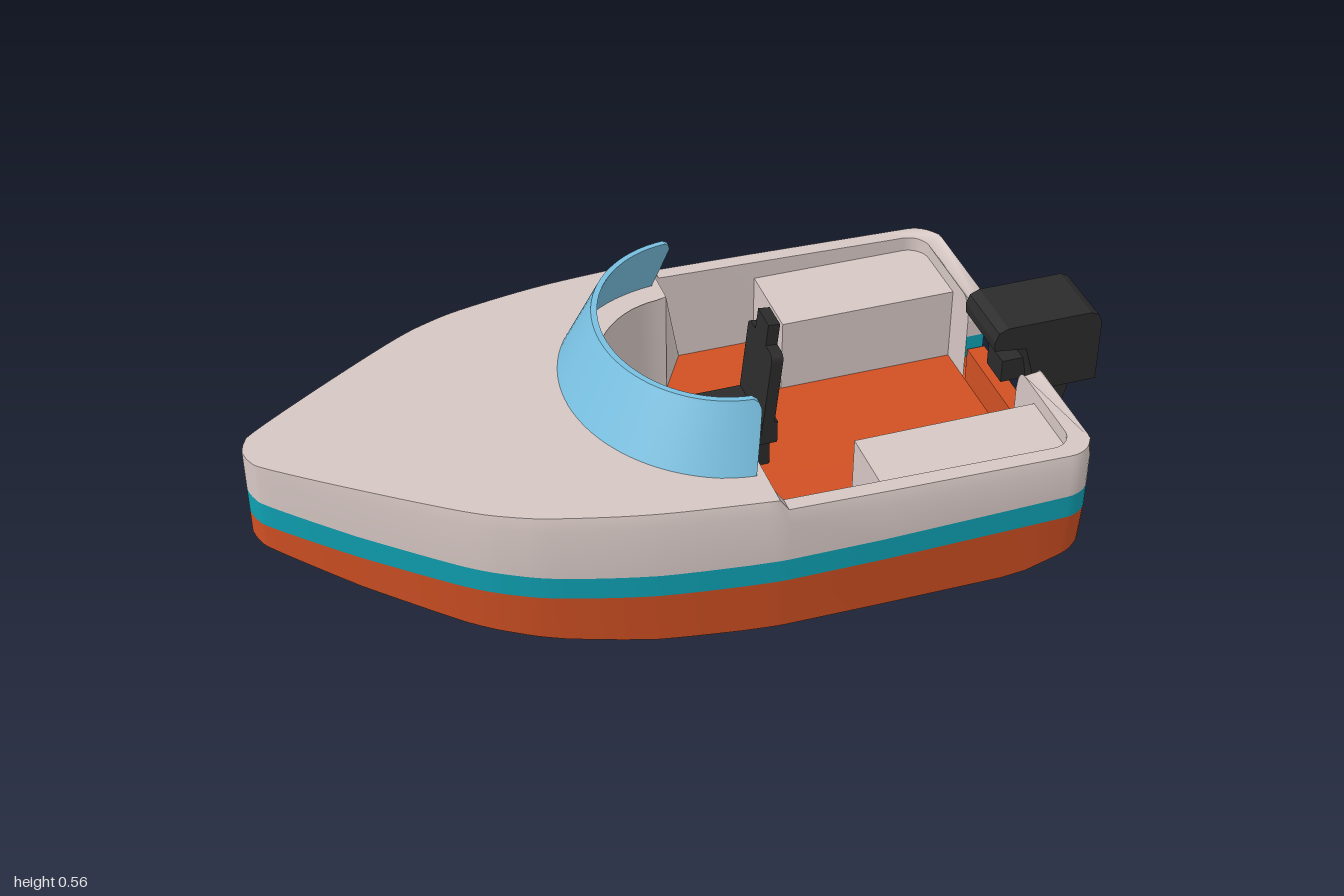
import * as THREE from 'three';
import { toCreasedNormals } from 'three/addons/utils/BufferGeometryUtils.js';

const mat = (name, color) => new THREE.MeshStandardMaterial({ name, color, side: THREE.DoubleSide });

// piecewise linear lookup in [x, y] pairs
function lookup(table, x) {
  for (let i = 1; i < table.length; i++) {
    const [x0, y0] = table[i - 1], [x1, y1] = table[i];
    if (x <= x1) return y0 + (y1 - y0) * Math.max(0, (x - x0) / (x1 - x0));
  }
  return table[table.length - 1][1];
}

const FLOOR = 0.13, SILL = 0.22, STERN = 0.81, INNER = 0.765, NOTCH = 0.14;

// heights along the boat; the sheer rounds down beside the motor notch
function sheer(x, z) {
  const y = lookup([[-1, 0.435], [0.06, 0.402], [0.08, 0.373], [STERN, 0.355]], x);
  const t = x > 0.7 ? THREE.MathUtils.clamp((0.175 - Math.abs(z)) / 0.035, 0, 1) : 0;
  return y - 0.06 * (1 - Math.sqrt(1 - t * t));
}
const bandTop = x => lookup([[-1, 0.335], [-0.8, 0.298], [-0.6, 0.272], [-0.4, 0.255], [-0.2, 0.245], [0, 0.24], [0.35, 0.24], [STERN, 0.25]], x);
const bandLow = x => lookup([[-1, 0.275], [-0.8, 0.24], [-0.6, 0.215], [-0.4, 0.199], [-0.2, 0.188], [0, 0.182], [0.35, 0.182], [STERN, 0.19]], x);
const chine = x => lookup([[-1, 0.215], [-0.8, 0.152], [-0.6, 0.105], [-0.4, 0.073], [-0.2, 0.051], [0, 0.041], [0.6, 0.037], [0.66, 0.043], [STERN, 0.09]], x);
const keel = x => chine(x) - 0.014 * lookup([[-1, 0], [-0.7, 1], [0.65, 1], [STERN, 0]], x);

function corner(cx, cz, r) {
  return Array.from({ length: 9 }, (_, i) => {
    const a = (i / 8) * Math.PI / 2;
    return [cx + r * Math.sin(a), cz + r * Math.cos(a)];
  });
}
const notchZ = [0.175, 0.165, 0.155, 0.146, NOTCH];
const mirror = pts => pts.map(([x, z]) => [x, -z]);

// half outlines, bow to stern on the +z side
const bowCurve = new THREE.SplineCurve([[-1, 0], [-0.99, 0.035], [-0.96, 0.07], [-0.8, 0.188], [-0.6, 0.325], [-0.5, 0.378],
  [-0.4, 0.412], [-0.2, 0.455], [0.06, 0.484]].map(p => new THREE.Vector2(...p)));
const bow = bowCurve.getPoints(48).map(p => [p.x, p.y]);
const aft = [[0.08, 0.485], [0.3, 0.487], [0.6, 0.487], [0.66, 0.487], ...corner(0.74, 0.417, 0.07), ...notchZ.map(z => [STERN, z])];
const half = [...bow, ...aft];
const around = [...mirror(half).reverse(), ...half.slice(1)];

const arc = Array.from({ length: 17 }, (_, i) => {
  const a = (i / 16) * Math.PI / 2;
  return [0.06 - 0.25 * Math.cos(a), 0.32 * Math.sin(a)];
});
const innerAft = [[0.14, 0.44], ...corner(0.715, 0.39, 0.05), ...notchZ.map(z => [INNER, z])];
const wallTop = [...arc, [0.06, 0.44], [0.08, 0.44], ...innerAft];
const wallLow = [...arc, [0.13, 0.44], [0.13, 0.44], ...innerAft];

const row = (pts, y, s = 1) => pts.map(([x, z]) => [x, y(x, z), z * s]);

// skin through rows of equal length
function loft(rows, crease = 0.6) {
  const n = rows[0].length, index = [];
  for (let r = 0; r + 1 < rows.length; r++) {
    for (let i = 0; i + 1 < n; i++) {
      const a = r * n + i, b = a + n;
      index.push(a, b, b + 1, a, b + 1, a + 1);
    }
  }
  const g = new THREE.BufferGeometry();
  g.setAttribute('position', new THREE.Float32BufferAttribute(rows.flat(2), 3));
  g.setIndex(index);
  return toCreasedNormals(g, crease);
}

// near-level plate over a plan outline
function plate(pts, y, s = 1) {
  const g = new THREE.ShapeGeometry(new THREE.Shape(pts.map(([x, z]) => new THREE.Vector2(x, -z))));
  const p = g.attributes.position;
  for (let i = 0; i < p.count; i++) {
    const x = p.getX(i), z = -p.getY(i);
    p.setXYZ(i, x, y(x, z), Math.abs(z) > 0.441 || x < 0.05 ? z * s : z);
  }
  g.computeVertexNormals();
  return g;
}

// side profile given a width across z
function slab(pts, width) {
  const g = new THREE.ExtrudeGeometry(new THREE.Shape(pts.map(p => new THREE.Vector2(...p))), { depth: width, bevelEnabled: false });
  return g.translate(0, 0, -width / 2);
}
const box = (x0, x1, y0, y1, z0, z1) => new THREE.BoxGeometry(x1 - x0, y1 - y0, z1 - z0)
  .translate((x0 + x1) / 2, (y0 + y1) / 2, (z0 + z1) / 2);

export function createModel() {
  const cream = mat('palePaint', 0xd6c7c4), teal = mat('tealStripe', 0x0f9fb1), orange = mat('orangePaint', 0xd05023);
  const black = mat('blackPlastic', 0x2b2b2b), blue = mat('blueScreen', 0x78bfe0);
  const boat = new THREE.Group();
  boat.name = 'motorboat';
  const add = (name, geo, m, parent = boat) => {
    const mesh = new THREE.Mesh(geo, m);
    mesh.name = name;
    parent.add(mesh);
    return mesh;
  };

  // hull skin in three colour bands, and the bottom
  add('topsides', loft([row(around, sheer, 0.98), row(around, (x, z) => sheer(x, z) - 0.03), row(around, bandTop)]), cream);
  add('stripe', loft([row(around, bandTop), row(around, bandLow)]), teal);
  const closed = [...around, around[0]];
  add('lowerHull', loft([row(closed, bandLow), row(closed, chine, 0.975)]), orange);
  add('hullBottom', loft([row(half, chine, 0.975), row(half, keel, 0), row(mirror(half), chine, 0.975)]), orange);

  // deck and gunwales
  add('foredeck', plate([...mirror(bow).reverse(), ...bow.slice(1), ...[...arc].reverse(), ...mirror(arc).slice(1)], sheer, 0.98), cream);
  for (const side of [1, -1]) {
    const flip = pts => (side > 0 ? pts : mirror(pts));
    const inner = [[0.08, 0.44], ...innerAft].reverse();
    add('gunwale', plate(flip([...aft, ...inner]), sheer, 0.98), cream);
    add('deckStep', plate(flip([[0.06, 0.484], [0.08, 0.485], [0.08, 0.44], [0.06, 0.44]]), sheer, 0.98), cream);
    add('locker', side > 0 ? box(0.325, INNER, FLOOR, 0.32, 0.235, 0.44) : box(0.325, INNER, FLOOR, 0.32, -0.44, -0.235), cream);
    // sides of the motor notch
    const z = side * NOTCH;
    const jamb = (y0, y1) => loft([[[INNER, y1, z], [STERN, y1, z]], [[INNER, y0, z], [STERN, y0, z]]]);
    add('notchSide', jamb(0.25, sheer(INNER, NOTCH)), cream);
    add('notchStripe', jamb(0.19, 0.25), teal);
  }

  // cockpit
  const full = pts => [...pts].reverse().concat(mirror(pts).slice(1));
  add('cockpitWall', loft([row(full(wallTop), sheer), row(full(wallLow), () => FLOOR)]), cream);
  add('floor', plate(full([...arc, [0.13, 0.44], ...innerAft]), () => FLOOR), orange);
  add('transomSill', box(INNER, STERN, 0.1, SILL, -0.13, 0.13), orange);

  // wraparound windscreen with rounded upper ends
  const levels = [[0, 85], [0.5, 87.5], [0.85, 89.5], [0.95, 88.5], [1, 86]];
  const screenRow = ([u, limit], inset) => Array.from({ length: 41 }, (_, i) => {
    const a = THREE.MathUtils.degToRad(limit) * (i / 20 - 1);
    const rx = 0.355 - 0.085 * u - inset, rz = 0.385 - 0.065 * u - inset;
    return [0.07 - rx * Math.cos(a), 0.405 + 0.157 * u, rz * Math.sin(a)];
  });
  const outer = levels.map(l => screenRow(l, 0)).reverse(), inside = levels.map(l => screenRow(l, 0.014));
  const screen = new THREE.Group();
  screen.name = 'windscreen';
  boat.add(screen);
  add('windscreenPane', loft([...inside, ...outer, inside[0]]), blue, screen);
  for (const end of [0, 40]) {
    const a = [...outer].reverse().map(r => r[end]), b = inside.map(r => r[end]);
    add('windscreenEnd', loft(end ? [b, a] : [a, b]), blue, screen);
  }

  // helm chair
  const chair = new THREE.Group();
  chair.name = 'helmChair';
  boat.add(chair);
  add('pedestal', box(0.11, 0.2, FLOOR, 0.24, -0.03, 0.03), black, chair);
  add('seat', box(0.04, 0.2, 0.23, 0.29, -0.078, 0.078), black, chair);
  const back = new THREE.Shape();
  back.moveTo(-0.08, 0).lineTo(0.08, 0).lineTo(0.08, 0.2).quadraticCurveTo(0.08, 0.22, 0.06, 0.22).lineTo(0.035, 0.22)
    .lineTo(0.035, 0.275).lineTo(-0.035, 0.275).lineTo(-0.035, 0.22).lineTo(-0.06, 0.22).quadraticCurveTo(-0.08, 0.22, -0.08, 0.2);
  const backrest = add('backrest', new THREE.ExtrudeGeometry(back, { depth: 0.028, bevelEnabled: false }).rotateY(Math.PI / 2), black, chair);
  backrest.position.set(0.16, 0.258, 0);
  backrest.rotation.z = -0.1;

  // outboard motor
  const motor = new THREE.Group();
  motor.name = 'outboardMotor';
  boat.add(motor);
  add('cowling', slab([[0.73, 0.37], [0.81, 0.36], [0.83, 0.29], [0.84, 0.232], [1, 0.232], [1, 0.395], [0.99, 0.418], [0.97, 0.428],
    [0.76, 0.428], [0.737, 0.418], [0.728, 0.395]], 0.17), black, motor);
  add('driveLeg', slab([[0.885, 0.235], [0.975, 0.235], [0.95, 0.14], [0.935, 0.06], [0.945, 0.05], [0.94, 0.03], [0.9, 0.03],
    [0.885, 0.05], [0.897, 0.07], [0.897, 0.14]], 0.056), black, motor);
  add('clamp', box(0.775, 0.85, 0.24, 0.3, -0.04, 0.04), black, motor);
  add('propellerHub', new THREE.CylinderGeometry(0.011, 0.014, 0.03, 12).rotateZ(-Math.PI / 2).translate(0.948, 0.044, 0), black, motor);
  for (let i = 0; i < 3; i++) {
    const blade = add('propellerBlade', new THREE.BoxGeometry(0.006, 0.038, 0.022).rotateY(0.5).translate(0, -0.025, 0), black, motor);
    blade.position.set(0.948, 0.044, 0);
    blade.rotation.x = (i * Math.PI * 2) / 3;
  }
  return boat;
}
